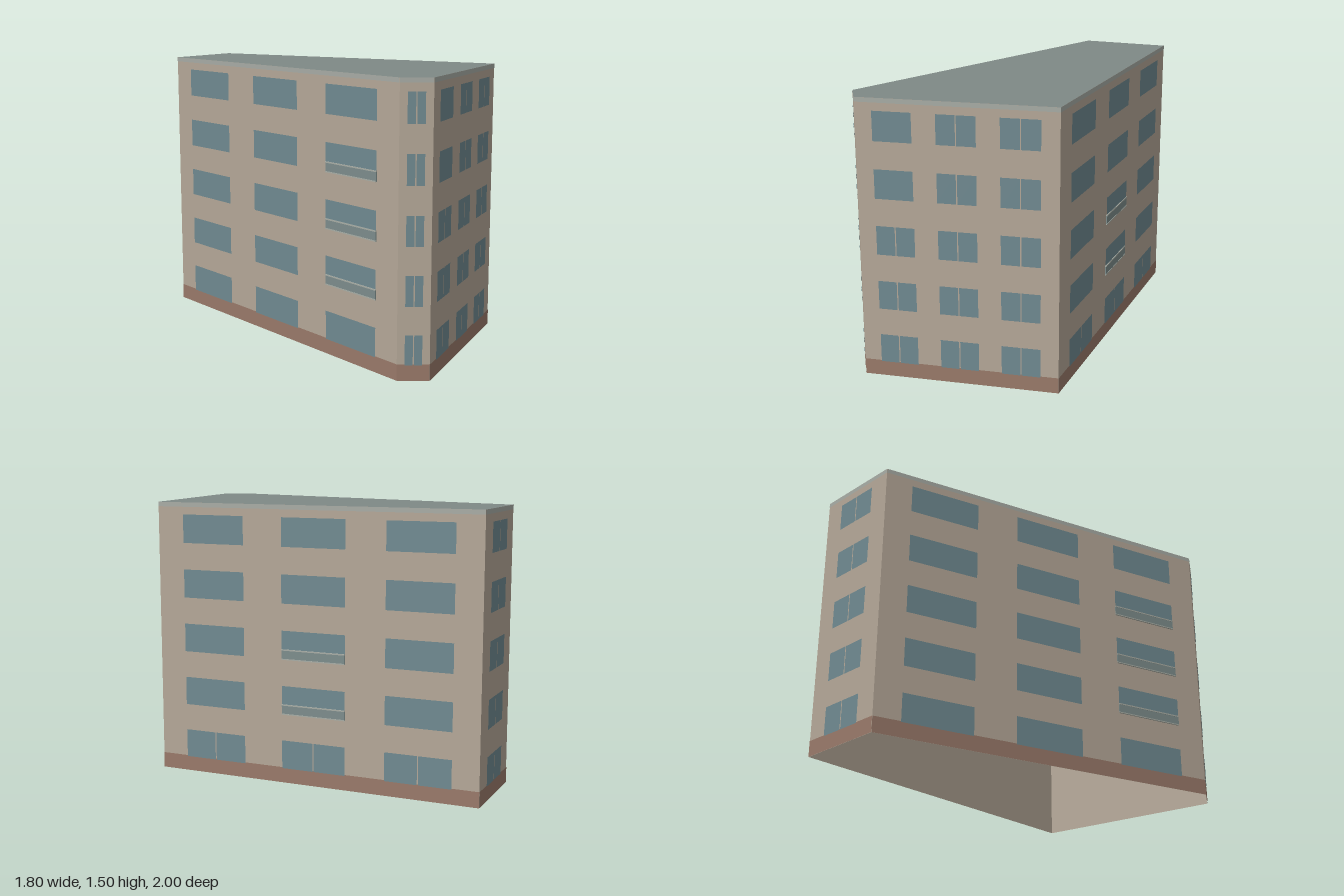
import * as THREE from 'three';

const HEIGHT = 1.5, FLOORS = 5, PITCH = 0.3;

const mat = (color, side = THREE.FrontSide) =>
  new THREE.MeshStandardMaterial({ color, side, roughness: 0.9 });

// Footprint corners [x, z], running round from the left rear corner
const CORNERS = [[-0.9, -0.6], [0.27, 0.985], [0.433, 0.995], [0.9, 0.06], [-0.61, -1]];

// One entry per wall: window centres and width as fractions of the wall length
const WALLS = [
  { name: 'frontWall', bays: [0.175, 0.498, 0.82], width: 0.2,
    split: () => false, balcony: (b, f) => b === 2 && f >= 1 && f <= 3 },
  { name: 'cornerWall', bays: [0.5], width: 0.53, split: () => true, balcony: () => false },
  { name: 'sideWall', bays: [0.185, 0.5, 0.812], width: 0.196,
    split: (b, f) => b > 0 || f < 3, balcony: () => false },
  { name: 'backWall', bays: [0.183, 0.503, 0.822], width: 0.198,
    split: (b, f) => f === 0, balcony: (b, f) => b === 1 && (f === 1 || f === 2) },
  { name: 'endWall', bays: [0.5], width: 0.52, split: () => true, balcony: () => false },
];

export function createModel() {
  const model = new THREE.Group();
  model.name = 'building';

  const wallMat = mat(0xb5a898, THREE.DoubleSide);
  const plinthMat = mat(0x9a7a6a);
  const corniceMat = mat(0xa8aca5);
  const glassMat = mat(0x708a91);
  const roofMat = mat(0x7f8986, THREE.DoubleSide);
  const panelMat = mat(0x7d8d8c);
  const railMat = mat(0xa9aea6);

  // Flat rectangle in wall space, from (x0, y0) to (x1, y1)
  const rect = (parent, name, x0, x1, y0, y1, z, material) => {
    const mesh = new THREE.Mesh(new THREE.PlaneGeometry(x1 - x0, y1 - y0), material);
    mesh.name = name;
    mesh.position.set((x0 + x1) / 2, (y0 + y1) / 2, z);
    parent.add(mesh);
  };

  // Shallow box standing on the wall face
  const bar = (parent, name, x0, x1, y0, y1, depth, material) => {
    const mesh = new THREE.Mesh(new THREE.BoxGeometry(x1 - x0, y1 - y0, depth), material);
    mesh.name = name;
    mesh.position.set((x0 + x1) / 2, (y0 + y1) / 2, depth / 2);
    parent.add(mesh);
  };

  WALLS.forEach((spec, i) => {
    const [ax, az] = CORNERS[i];
    const [bx, bz] = CORNERS[(i + 1) % CORNERS.length];
    const length = Math.hypot(bx - ax, bz - az);

    // Wall space: x along the wall, z outward
    const wall = new THREE.Group();
    wall.name = spec.name;
    wall.position.set(ax, 0, az);
    wall.rotation.y = Math.atan2(az - bz, bx - ax);
    model.add(wall);

    rect(wall, 'facade', 0, length, 0, HEIGHT, 0, wallMat);
    rect(wall, 'plinth', 0, length, 0, 0.085, 0.0015, plinthMat);
    rect(wall, 'cornice', 0, length, 1.476, HEIGHT, 0.0015, corniceMat);

    spec.bays.forEach((centre, b) => {
      const x0 = (centre - spec.width / 2) * length;
      const x1 = (centre + spec.width / 2) * length;
      const xm = centre * length;
      for (let f = 0; f < FLOORS; f++) {
        const y0 = 0.08 + f * PITCH, y1 = y0 + 0.155;
        // Window, as one pane or two with a narrow gap
        if (spec.split(b, f)) {
          rect(wall, 'windowPane', x0, xm - 0.003, y0, y1, 0.003, glassMat);
          rect(wall, 'windowPane', xm + 0.003, x1, y0, y1, 0.003, glassMat);
        } else {
          rect(wall, 'windowPane', x0, x1, y0, y1, 0.003, glassMat);
        }
        // Shallow balcony: panel with top and bottom rails
        if (spec.balcony(b, f)) {
          bar(wall, 'balconyPanel', x0, x1, y0, y0 + 0.048, 0.005, panelMat);
          bar(wall, 'balconyTopRail', x0, x1, y0 + 0.048, y0 + 0.055, 0.007, railMat);
          bar(wall, 'balconyBottomRail', x0, x1, y0 - 0.002, y0 + 0.004, 0.007, railMat);
        }
      }
    });
  });

  // Flat roof over the footprint
  const outline = new THREE.Shape(CORNERS.map(([x, z]) => new THREE.Vector2(x, -z)));
  const roof = new THREE.Mesh(new THREE.ShapeGeometry(outline).rotateX(-Math.PI / 2), roofMat);
  roof.name = 'roof';
  roof.position.y = HEIGHT;
  model.add(roof);

  return model;
}
